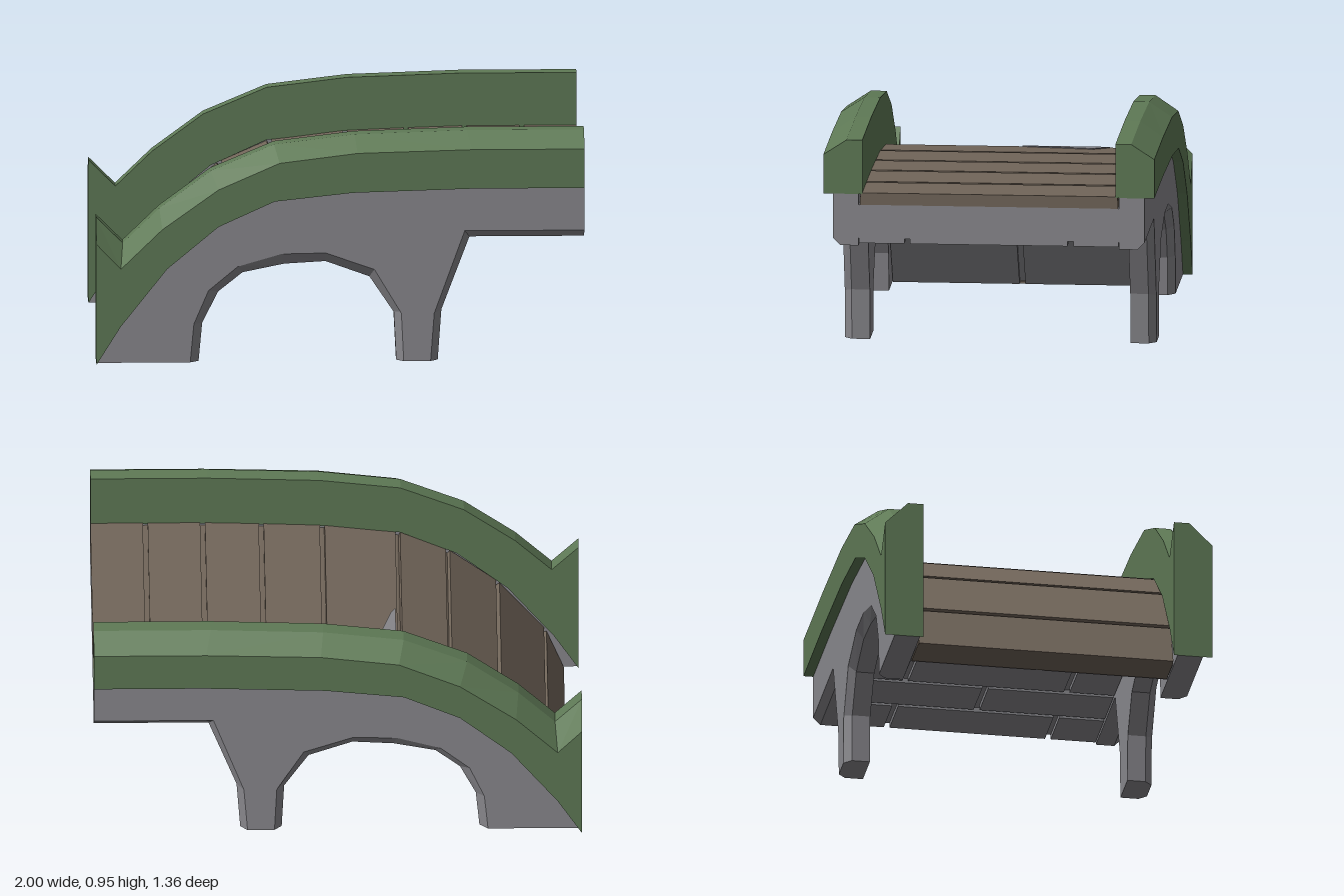
import * as THREE from 'three';

const mat = (name, color) => {
  const m = new THREE.MeshStandardMaterial({ color });
  m.name = name;
  return m;
};

// Side lines of the bridge, as [x, y]
const railFoot = [[-1, 0], [-0.9, 0.16], [-0.71, 0.4], [-0.5, 0.575], [-0.27, 0.68], [0.05, 0.715], [0.55, 0.73], [1, 0.73]];
const railTop = [[-1, 0.6], [-0.89, 0.49], [-0.74, 0.635], [-0.53, 0.79], [-0.27, 0.9], [0.06, 0.94], [0.52, 0.955], [1, 0.955]];
const railShoulder = [[-1, 0.505], [-0.9, 0.4], [-0.73, 0.565], [-0.5, 0.73], [-0.25, 0.84], [0.07, 0.88], [0.54, 0.893], [1, 0.893]];
const soffitInner = [[-0.58, 0], [-0.565, 0.16], [-0.5, 0.29], [-0.4, 0.37], [-0.23, 0.405], [-0.06, 0.415], [0.12, 0.35],
  [0.22, 0.2], [0.23, 0], [0.4, 0], [0.415, 0.21], [0.53, 0.515], [1, 0.515]];
const soffitOuter = [[-0.615, 0], [-0.6, 0.16], [-0.54, 0.3], [-0.42, 0.4], [-0.24, 0.452], [-0.06, 0.455], [0.14, 0.385],
  [0.25, 0.21], [0.26, 0], [0.37, 0], [0.385, 0.2], [0.51, 0.545], [1, 0.545]];
const deckLine = [[-0.94, 0], [-0.865, 0.19], [-0.67, 0.43], [-0.465, 0.59], [-0.26, 0.68], [0.05, 0.718], [0.3, 0.728], [0.54, 0.735], [0.775, 0.735], [1, 0.735]];
const underLine = [[-0.76, 0], [-0.57, 0.27], [-0.4, 0.405], [-0.22, 0.475], [0.05, 0.507], [0.3, 0.52], [0.55, 0.525], [0.78, 0.525], [1, 0.525]];

// Shift a line along its normals (positive is up), staying above minY
function offset(line, d, minY = 0) {
  return line.map(([x, y], i) => {
    const a = line[Math.max(i - 1, 0)], b = line[Math.min(i + 1, line.length - 1)];
    const dx = b[0] - a[0], dy = b[1] - a[1], l = Math.hypot(dx, dy);
    return [Math.min(1, x - (dy / l) * d), Math.max(minY, y + (dx / l) * d)];
  });
}

const band = (upper, lower) => [...upper, ...[...lower].reverse()];
const toShape = (pts) => new THREE.Shape(pts.map((p) => new THREE.Vector2(...p)));

function slab(pts, z0, z1) {
  const g = new THREE.ExtrudeGeometry(toShape(pts), { depth: z1 - z0, bevelEnabled: false });
  return g.translate(0, 0, z0);
}

// Extrude with a bevel: profile a at z0 and z1, matching profile b at z2; side -1 mirrors it
function bevelled(a, b, zs, side) {
  const g = new THREE.ExtrudeGeometry(toShape(a), { depth: 2, steps: 2, bevelEnabled: false }).toNonIndexed();
  const p = g.attributes.position;
  for (let i = 0; i < p.count; i++) {
    const ring = Math.round(p.getZ(i));
    const k = a.findIndex((q) => Math.hypot(q[0] - p.getX(i), q[1] - p.getY(i)) < 1e-4);
    const q = ring === 2 ? b[k] : a[k];
    p.setXYZ(i, q[0], q[1], zs[ring] * side);
  }
  if (side < 0) {
    const v = new THREE.Vector3(), w = new THREE.Vector3();
    for (let i = 0; i < p.count; i += 3) {
      v.fromBufferAttribute(p, i + 1);
      w.fromBufferAttribute(p, i + 2);
      p.setXYZ(i + 1, w.x, w.y, w.z);
      p.setXYZ(i + 2, v.x, v.y, v.z);
    }
  }
  g.computeVertexNormals();
  return g;
}

// Board lying along one segment of a line, trimmed for the joints
function board(a, b, trimA, trimB, thickness, z0, z1) {
  const l = Math.hypot(b[0] - a[0], b[1] - a[1]);
  const ux = (b[0] - a[0]) / l, uy = (b[1] - a[1]) / l;
  const face = [[a[0] + ux * trimA, a[1] + uy * trimA], [b[0] - ux * trimB, b[1] - uy * trimB]];
  return slab(band(face, offset(face, thickness)), z0, z1);
}

export function createModel() {
  const stone = mat('grey stone', 0x8a898e);
  const paint = mat('green rail', 0x5f7a56);
  const wood = mat('brown wood', 0x72665a);
  const model = new THREE.Group();
  model.name = 'halfBridge';
  const add = (name, geometry, material) => {
    const m = new THREE.Mesh(geometry, material);
    m.name = name;
    model.add(m);
  };

  // Arched side walls and green rails
  for (const side of [1, -1]) {
    const label = side > 0 ? 'front' : 'back';
    add(label + 'Wall', bevelled(band(railFoot, soffitInner.slice()), band(railFoot, soffitOuter), [0.535, 0.61, 0.64], side), stone);
    add(label + 'Rail', bevelled(band(railTop, railFoot), band(railShoulder, railFoot), [0.52, 0.585, 0.68], side), paint);
  }

  // Core of the span, with a wooden layer showing in the plank joints
  add('spanCore', slab(band(offset(deckLine, -0.05, 0.005), offset(underLine, 0.02, 0.005)), -0.535, 0.535), stone);
  add('deckUnderlay', slab(band(offset(deckLine, -0.018), offset(deckLine, -0.05)), -0.53, 0.53), wood);
  const base = new THREE.BoxGeometry(0.145, 0.01, 1.06);
  add('baseBoard', base.translate(-0.8375, 0.005, 0), wood);

  // Deck planks
  for (let i = 0; i < deckLine.length - 1; i++) {
    const last = i === deckLine.length - 2;
    add('plank' + (i + 1), board(deckLine[i], deckLine[i + 1], i ? 0.01 : 0, last ? 0 : 0.01, -0.03, -0.528, 0.528), wood);
  }

  // Bricks under the span, in staggered rows
  for (let i = 0; i < underLine.length - 1; i++) {
    const cuts = i % 2 ? [-0.545, -0.335, 0.335, 0.545] : [-0.545, 0, 0.545];
    const last = i === underLine.length - 2;
    for (let j = 0; j < cuts.length - 1; j++) {
      add('brick', board(underLine[i], underLine[i + 1], i ? 0.01 : 0, last ? 0 : 0.01, 0.035, cuts[j] + 0.012, cuts[j + 1] - 0.012), stone);
    }
  }

  // Stone chip showing through the deck, laid on the plank's slope
  const chip = new THREE.ExtrudeGeometry(
    toShape([[-0.243, 0.4], [-0.215, 0.385], [-0.15, 0.335], [-0.225, 0.07], [-0.243, 0.04]]),
    { depth: 0.008, bevelEnabled: false }).rotateX(-Math.PI / 2);
  const [a, b] = [deckLine[4], deckLine[5]];
  const p = chip.attributes.position;
  for (let i = 0; i < p.count; i++) {
    p.setY(i, p.getY(i) - 0.004 + a[1] + ((p.getX(i) - a[0]) * (b[1] - a[1])) / (b[0] - a[0]));
  }
  chip.computeVertexNormals();
  add('stoneChip', chip, stone);

  return model;
}
